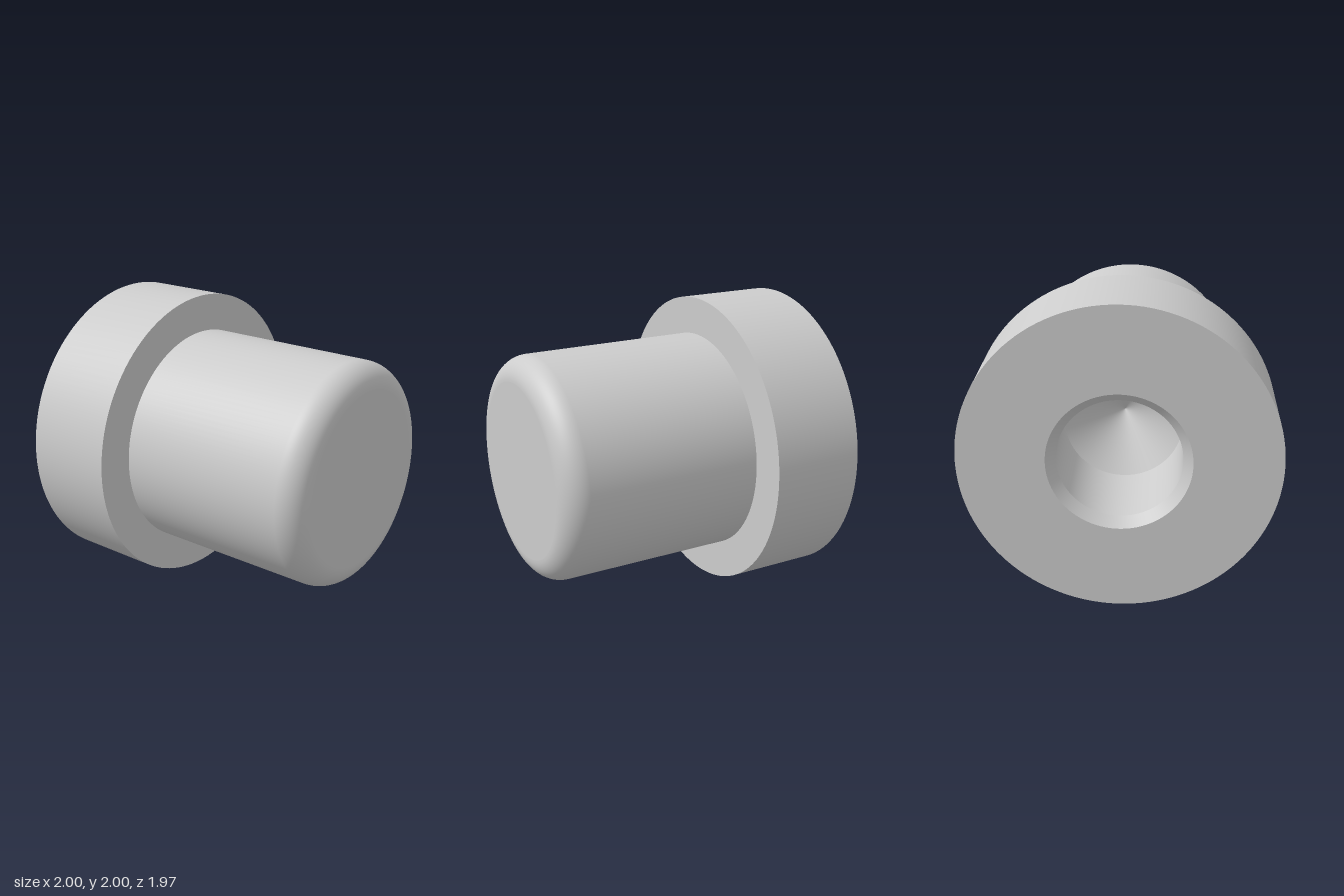
import * as THREE from 'three';

const BACK = -0.985, SHOULDER = -0.36, FRONT = 0.985;
const BODY_R = 0.75, FLANGE_R = 1, BORE_R = 0.39, MOUTH_R = 0.45, FILLET = 0.16;

export function createModel() {
  const model = new THREE.Group();
  model.name = 'flangedPlug';
  const metal = new THREE.MeshStandardMaterial({ color: 0xcccccc });
  metal.name = 'plain grey';

  // Revolves a [radius, z] profile about the z axis; each call is one smooth surface
  const turn = (name, profile) => {
    const points = profile.map(([r, z]) => new THREE.Vector2(r, z));
    const geometry = new THREE.LatheGeometry(points, 128);
    geometry.rotateX(Math.PI / 2);
    const mesh = new THREE.Mesh(geometry, metal);
    mesh.name = name;
    mesh.position.y = 1;
    model.add(mesh);
  };

  // Blind hole: drilled tip, bore and chamfered mouth
  turn('boreTip', [[0, -0.13], [BORE_R, -0.365]]);
  turn('boreWall', [[BORE_R, -0.365], [BORE_R, BACK + 0.06]]);
  turn('boreChamfer', [[BORE_R, BACK + 0.06], [MOUTH_R, BACK]]);

  // Flange
  turn('flangeBack', [[MOUTH_R, BACK], [FLANGE_R, BACK]]);
  turn('flangeRim', [[FLANGE_R, BACK], [FLANGE_R, SHOULDER]]);
  turn('flangeShoulder', [[FLANGE_R, SHOULDER], [BODY_R, SHOULDER]]);

  // Body with rounded front edge
  const body = [[BODY_R, SHOULDER]];
  for (let i = 0; i <= 16; i++) {
    const a = (i / 16) * Math.PI / 2;
    body.push([
      BODY_R - FILLET + FILLET * Math.cos(a),
      FRONT - FILLET + FILLET * Math.sin(a),
    ]);
  }
  turn('body', body);
  turn('frontFace', [[BODY_R - FILLET, FRONT], [0, FRONT]]);

  return model;
}
